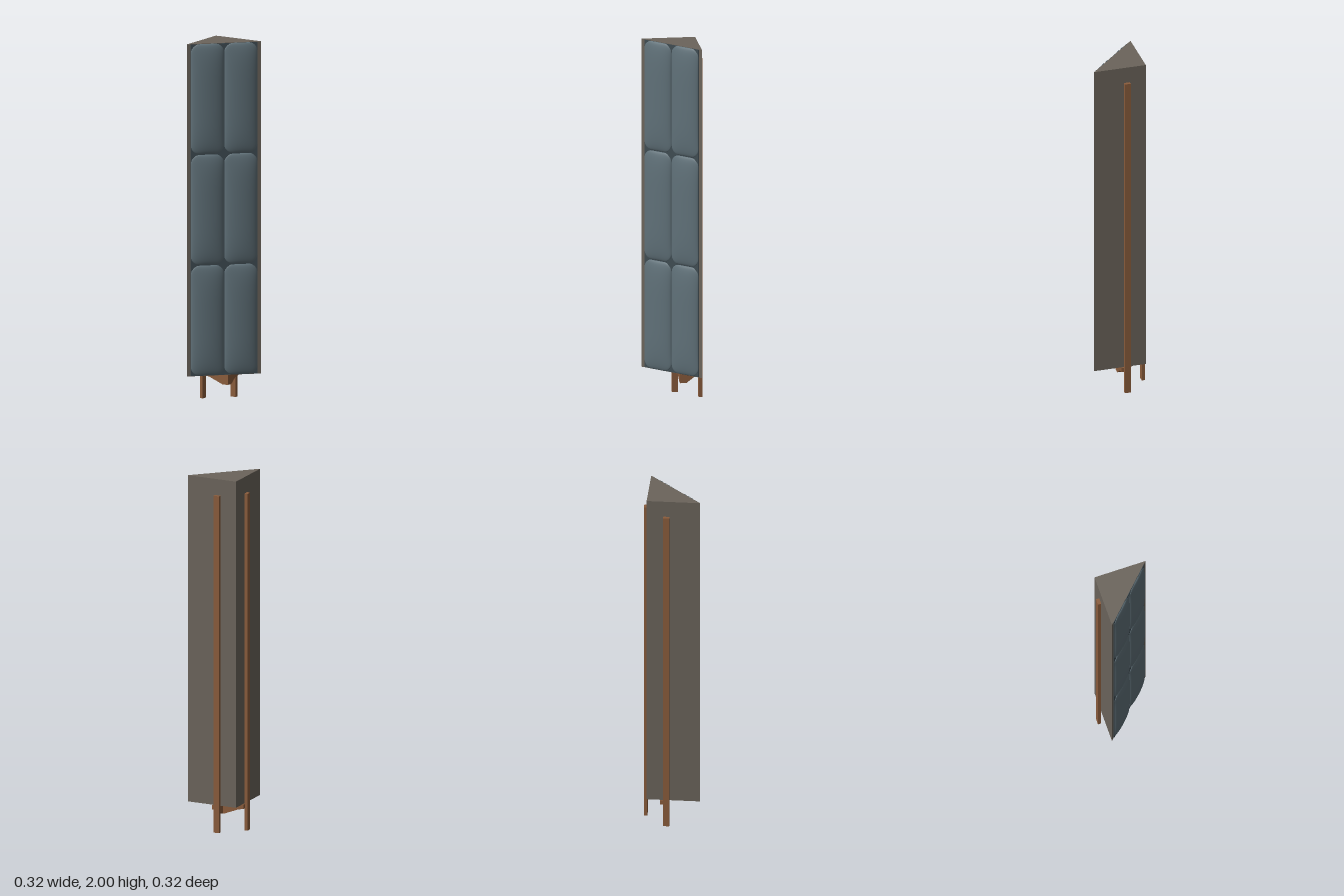
import * as THREE from 'three';

const material = (name, color) => {
  const m = new THREE.MeshStandardMaterial({ color });
  m.name = name;
  return m;
};

// Domed pad with softly rounded corners, facing +z from z = 0
function cushionGeometry(w, h, depth) {
  const g = new THREE.PlaneGeometry(2, 2, 24, 36);
  const p = g.attributes.position;
  for (let i = 0; i < p.count; i++) {
    const s = Math.sin(p.getX(i) * Math.PI / 2);
    const t = Math.sin(p.getY(i) * Math.PI / 2);
    const bulge = Math.pow(Math.max(0, 1 - s * s), 0.6) * Math.sqrt(Math.max(0, 1 - t ** 4));
    p.setXYZ(i,
      s * w / 2 * (1 - 0.2 * Math.abs(t) ** 30),
      t * h / 2 * (1 - 0.05 * Math.abs(s) ** 8),
      depth * bulge);
  }
  g.computeVertexNormals();
  return g;
}

// Bracket side profile: thin at the wall, deep at the free end
function bracketGeometry(start, end) {
  const shape = new THREE.Shape([
    [start, 0.15], [start, 0.125], [start + 0.03, 0.12],
    [end - 0.035, 0.086], [end, 0.086], [end, 0.15],
  ].map(([x, y]) => new THREE.Vector2(x, y)));
  return new THREE.ExtrudeGeometry(shape, { depth: 0.026, bevelEnabled: false });
}

export function createModel() {
  const model = new THREE.Group();
  model.name = 'cornerPanel';
  const shell = material('taupe shell', 0x6b645b);
  const fabric = material('slate fabric', 0x607179);
  const seam = material('dark seam', 0x3f4c53);
  const wood = material('brown wood', 0x8a5c3c);

  const add = (parent, name, geometry, mat, x = 0, y = 0, z = 0) => {
    const mesh = new THREE.Mesh(geometry, mat);
    mesh.name = name;
    mesh.position.set(x, y, z);
    parent.add(mesh);
    return mesh;
  };

  // Triangular column
  const plan = new THREE.Shape([
    new THREE.Vector2(-0.137, 0.137),
    new THREE.Vector2(-0.137, -0.157),
    new THREE.Vector2(0.157, 0.137),
  ]);
  const column = new THREE.ExtrudeGeometry(plan, { depth: 1.85, bevelEnabled: false });
  column.rotateX(-Math.PI / 2);
  add(model, 'column', column, shell, 0, 0.15, 0);

  // Padded diagonal face: two columns of three cushions
  const padding = new THREE.Group();
  padding.name = 'padding';
  padding.position.set(0.01, 0, 0.01);
  padding.rotation.y = Math.PI / 4;
  model.add(padding);
  add(padding, 'seamPanel', new THREE.BoxGeometry(0.372, 1.846, 0.003), seam, 0, 1.075, 0.0015);
  const rowHeight = 1.85 / 3;
  const cushion = cushionGeometry(0.185, rowHeight - 0.003, 0.023);
  for (const side of [-1, 1]) {
    for (let row = 0; row < 3; row++) {
      add(padding, 'cushion', cushion, fabric, side * 0.0935, 0.15 + rowHeight * (row + 0.5), 0.0035);
    }
  }

  // Long legs standing against the two back walls
  add(model, 'backLeg', new THREE.BoxGeometry(0.034, 1.91, 0.019), wood, -0.028, 0.955, -0.151);
  add(model, 'sideLeg', new THREE.BoxGeometry(0.019, 1.91, 0.034), wood, -0.151, 0.955, -0.028);

  // Tapered brackets beneath the column
  add(model, 'sideBracket', bracketGeometry(-0.145, 0.005), wood, 0, 0, -0.062);
  const backBracket = bracketGeometry(-0.145, -0.036);
  backBracket.rotateY(-Math.PI / 2);
  add(model, 'backBracket', backBracket, wood, 0.005, 0, 0);

  return model;
}
